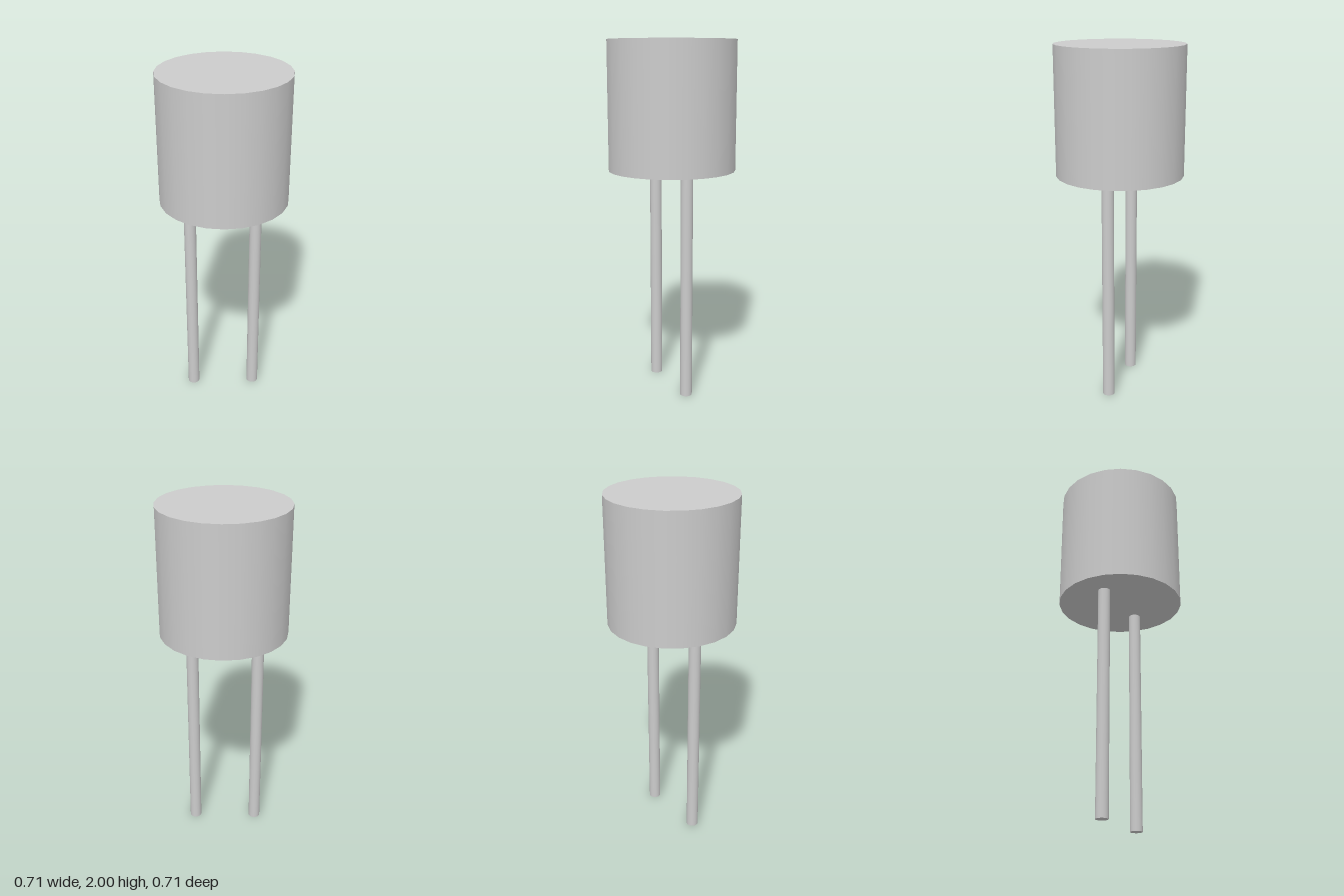
import * as THREE from 'three';

export function createModel() {
  const group = new THREE.Group();
  const material = new THREE.MeshStandardMaterial({ color: 0xcccccc });
  const facetTurn = THREE.MathUtils.degToRad(-6.3);

  // Upright capped cylinder between two heights
  function addCylinder(name, radius, bottom, top, x, z) {
    const geometry = new THREE.CylinderGeometry(radius, radius, top - bottom, 24);
    const mesh = new THREE.Mesh(geometry, material);
    mesh.name = name;
    mesh.position.set(x, (bottom + top) / 2, z);
    mesh.rotation.y = facetTurn;
    group.add(mesh);
  }

  // Round can on top
  addCylinder('body', 0.356, 1.288, 2, 0, 0);

  // Two thin leads, set diagonally under the body
  addCylinder('leftLead', 0.034, 0, 1.288, 0.162, -0.071);
  addCylinder('rightLead', 0.034, 0, 1.288, -0.173, 0.082);

  return group;
}
